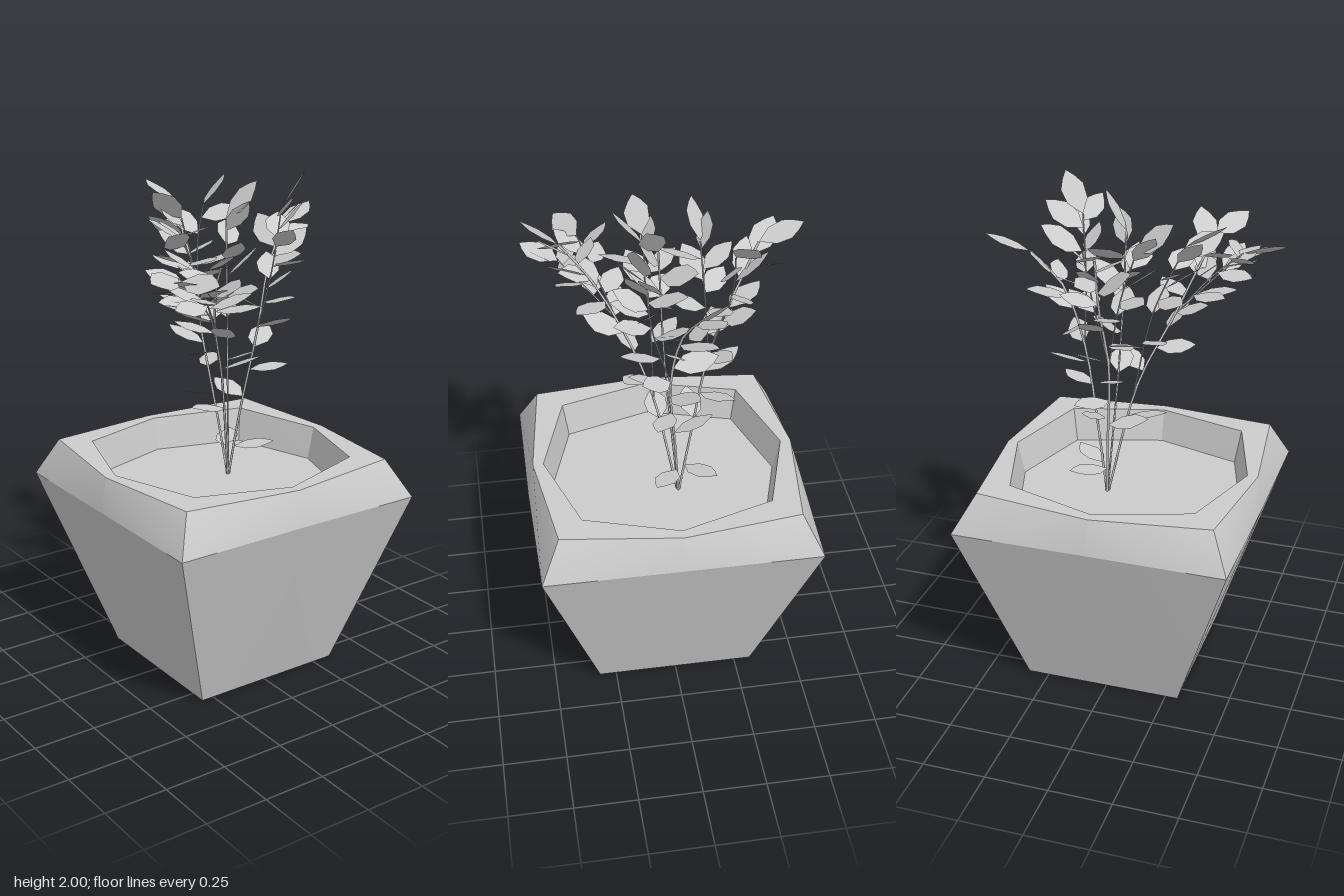
import * as THREE from 'three';
import { mergeGeometries } from 'three/addons/utils/BufferGeometryUtils.js';

const grey = new THREE.MeshStandardMaterial({ color: 0xcccccc });
const leafGrey = new THREE.MeshStandardMaterial({ color: 0xcccccc, flatShading: true, side: THREE.DoubleSide });
const V = (x, y, z) => new THREE.Vector3(x, y, z);

// Eight-point ring: square corners alternating with bulged side midpoints
function ring(y, corner, mid, cz = 0, midY = y) {
  return Array.from({ length: 8 }, (_, i) => {
    const a = (i - 2) * Math.PI / 4;
    const r = i % 2 ? corner * Math.SQRT2 : mid;
    return V(r * Math.cos(a), i % 2 ? y : midY, cz + r * Math.sin(a));
  });
}

// Panelled skin through a list of rings; every panel keeps its own edges
function loft(rings) {
  const panels = [];
  for (let k = 0; k + 1 < rings.length; k++) {
    for (let i = 0; i < 8; i++) {
      const j = (i + 1) % 8;
      const g = new THREE.BufferGeometry().setFromPoints([rings[k][i], rings[k + 1][i], rings[k + 1][j], rings[k][j]]);
      g.setIndex(i % 2 ? [0, 1, 2, 0, 2, 3] : [0, 1, 3, 1, 2, 3]);
      g.computeVertexNormals();
      panels.push(g);
    }
  }
  return mergeGeometries(panels);
}

// Flat angular leaf, from its stalk at the origin along +z
function leafGeometry(length) {
  const side = [[0.3, 0.24], [0.62, 0.27], [0.84, 0.14]];
  const right = side.map(([t, w]) => new THREE.Vector2(w * length, t * length));
  const left = side.map(([t, w]) => new THREE.Vector2(-w * length, t * length)).reverse();
  const outline = [new THREE.Vector2(0, 0), ...right, new THREE.Vector2(0, length), ...left];
  return new THREE.ShapeGeometry(new THREE.Shape(outline)).rotateX(Math.PI / 2);
}

// Leaf at p; azimuth from +x towards +z, pitch above level, roll about its midrib
function placedLeaf(p, azimuth, pitch, roll, length) {
  const [x, y, z] = [-pitch, 90 - azimuth, roll].map(THREE.MathUtils.degToRad);
  const turn = new THREE.Matrix4().makeRotationFromEuler(new THREE.Euler(x, y, z, 'YXZ'));
  return leafGeometry(length).applyMatrix4(turn).translate(p.x, p.y, p.z);
}

// Leaves alternate either side of the lean direction and crowd towards the tip
function foliage(curve, { count, from, lean, tip }) {
  return mergeGeometries(Array.from({ length: count }, (_, i) => {
    const last = i === count - 1;
    const t = from + (1 - from) * (i / (count - 1)) ** 0.62;
    const side = i % 2 ? -1 : 1;
    const azimuth = last ? lean : lean + side * (52 + 35 * Math.sin(i * 1.7));
    const pitch = last ? tip : 6 + (tip * 0.5 + 8 + 16 * Math.sin(i * 2.3)) * t;
    const roll = 42 * Math.sin(2.4 * i + lean) * t;
    return placedLeaf(curve.getPointAt(t), azimuth, pitch, roll, last ? 0.18 : 0.165 + 0.02 * Math.sin(i * 3));
  }));
}

// All stems grow from one root; twigs fork from a stem
const root = V(-.05, .73, -.08);
const leftFork = V(-.17, 1.35, -.03);
const backFork = V(0, 1.35, -.185);
const frontFork = V(.16, 1.45, .13);
const branches = [
  { name: 'backStem', radius: 0.005, count: 12, from: .13, lean: -105, tip: 22,
    path: [root, V(-.03, 1, -.12), backFork, V(-.03, 1.6, -.26), V(-.08, 1.74, -.37)] },
  { name: 'backRightTwig', radius: 0.003, count: 10, from: .25, lean: -62, tip: 58,
    path: [backFork, V(.07, 1.6, -.2), V(.1, 1.845, -.22)] },
  { name: 'leftStem', radius: 0.005, count: 13, from: .12, lean: 175, tip: 20,
    path: [root, V(-.1, 1, -.06), leftFork, V(-.25, 1.6, -.04), V(-.35, 1.83, -.02)] },
  { name: 'leftFrontTwig', radius: 0.003, count: 8, from: .2, lean: 85, tip: 40,
    path: [leftFork, V(-.16, 1.6, .01), V(-.15, 1.8, .07)] },
  { name: 'leftBackTwig', radius: 0.003, count: 4, from: .5, lean: -110, tip: 35,
    path: [leftFork, V(-.25, 1.66, -.07), V(-.25, 1.82, -.1)] },
  { name: 'middleStem', radius: 0.004, count: 8, from: .48, lean: -60, tip: 50,
    path: [root, V(0, 1.35, -.04), V(.02, 1.82, -.02)] },
  { name: 'frontStem', radius: 0.005, count: 11, from: .3, lean: 35, tip: 20,
    path: [root, V(.05, 1.2, .02), frontFork, V(.27, 1.63, .2), V(.36, 1.73, .24)] },
  { name: 'frontRightTwig', radius: 0.003, count: 6, from: .4, lean: 38, tip: 10,
    path: [frontFork, V(.26, 1.54, .22), V(.36, 1.62, .31)] },
  { name: 'frontOuterTwig', radius: 0.003, count: 7, from: .3, lean: 65, tip: 5,
    path: [frontFork, V(.23, 1.6, .26), V(.28, 1.69, .37)] },
  { name: 'frontInnerTwig', radius: 0.003, count: 9, from: .35, lean: 85, tip: 30,
    path: [V(.035, 1.16, .005), V(.04, 1.5, .08), V(.05, 1.77, .2)] },
];

export function createModel() {
  const model = new THREE.Group();
  const add = (name, geometry, material) => {
    const mesh = new THREE.Mesh(geometry, material);
    mesh.name = name;
    model.add(mesh);
  };

  // Tapered square pot with a bevelled rim and an octagonal opening
  const soilEdge = ring(.75, .347, .453);
  add('pot', loft([
    ring(0, 0, 0, -.017),
    ring(0, .317, .317, -.017),
    ring(.735, .543, .55, -.005, .741),
    ring(.888, .466, .523, 0, .882),
    ring(.888, .368, .481, 0, .882),
    soilEdge,
  ]), grey);
  add('soil', loft([soilEdge, ring(.75, 0, 0)]), grey);

  // Stems and their leaves
  for (const branch of branches) {
    const curve = new THREE.CatmullRomCurve3(branch.path);
    add(branch.name, new THREE.TubeGeometry(curve, 12, branch.radius, 5), grey);
    add(branch.name + 'Leaves', foliage(curve, branch), leafGrey);
  }
  return model;
}
